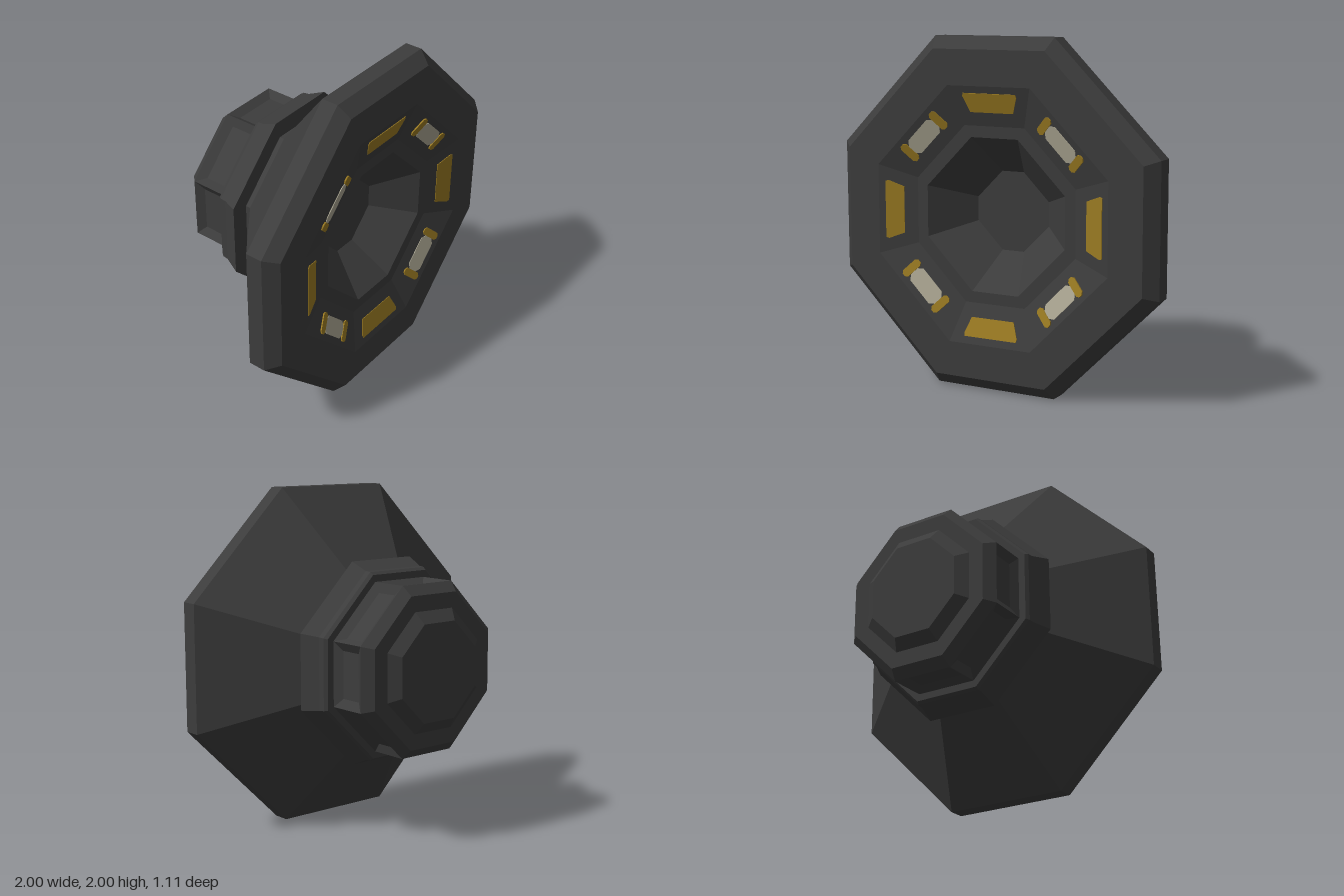
import * as THREE from 'three';

const darkMetal = new THREE.MeshStandardMaterial({ color: 0x3c3c3c });
darkMetal.name = 'darkMetal';
const amber = new THREE.MeshStandardMaterial({ color: 0x9a7a22 });
amber.name = 'amber';
const paleLens = new THREE.MeshStandardMaterial({ color: 0xaca793 });
paleLens.name = 'paleLens';

// Eight corners of a slightly square octagon: a = distance to flat, h = half length of that flat
function octagon([a, h, z]) {
  return [[a, -h], [a, h], [h, a], [-h, a], [-a, h], [-a, -h], [-h, -a], [h, -a]]
    .map(([x, y]) => new THREE.Vector3(x, y, z));
}

function quad(out, a, b, c, d) {
  for (const p of [a, b, c, a, c, d]) out.push(p.x, p.y, p.z);
}

function flatMesh(name, positions, material) {
  const geometry = new THREE.BufferGeometry();
  geometry.setAttribute('position', new THREE.Float32BufferAttribute(positions, 3));
  geometry.computeVertexNormals();
  const mesh = new THREE.Mesh(geometry, material);
  mesh.name = name;
  return mesh;
}

// Skin a series of octagons, ordered from front to back along the outside
function loft(name, sections) {
  const rings = sections.map(octagon);
  const out = [];
  for (let r = 0; r < rings.length - 1; r++) {
    for (let i = 0; i < 8; i++) {
      const j = (i + 1) % 8;
      quad(out, rings[r][i], rings[r + 1][i], rings[r + 1][j], rings[r][j]);
    }
  }
  return flatMesh(name, out, darkMetal);
}

// Eight side walls, each with a sunken panel
function recessedWalls(a, h, zFront, zBack, inset, depth) {
  const front = octagon([a, h, zFront]);
  const back = octagon([a, h, zBack]);
  const out = [];
  for (let i = 0; i < 8; i++) {
    const j = (i + 1) % 8;
    const outer = [front[i], back[i], back[j], front[j]];
    const along = front[j].clone().sub(front[i]).normalize();
    const inward = new THREE.Vector3(-along.y, along.x, 0);
    const inner = outer.map((p, k) => p.clone()
      .addScaledVector(along, k < 2 ? inset : -inset)
      .addScaledVector(inward, depth)
      .add(new THREE.Vector3(0, 0, k === 0 || k === 3 ? -inset : inset)));
    for (let k = 0; k < 4; k++) {
      const n = (k + 1) % 4;
      quad(out, outer[k], outer[n], inner[n], inner[k]);
    }
    quad(out, ...inner);
  }
  return flatMesh('recessedWalls', out, darkMetal);
}

// Thin plate from an outline
function plate(name, points, depth, material) {
  const shape = new THREE.Shape(points.map(([x, y]) => new THREE.Vector2(x, y)));
  const mesh = new THREE.Mesh(
    new THREE.ExtrudeGeometry(shape, { depth, bevelEnabled: false }), material);
  mesh.name = name;
  return mesh;
}

// Rectangle with clipped corners
function clipped(w, h, c) {
  return [[w - c, -h], [w, -h + c], [w, h - c], [w - c, h],
    [-w + c, h], [-w, h - c], [-w, -h + c], [-w + c, -h]];
}

export function createModel() {
  const model = new THREE.Group();
  const head = new THREE.Group();
  head.name = 'head';
  head.position.y = 1;
  model.add(head);

  // Dish, sloped light ring, rim, flare and neck
  head.add(loft('flaredBell', [
    [0, 0, 0.27], [0.23, 0.07, 0.27], [0.44, 0.148, 0.485], [0.505, 0.19, 0.485],
    [0.73, 0.26, 0.555], [0.93, 0.35, 0.555], [1, 0.375, 0.485], [1, 0.375, 0.385],
    [0.49, 0.185, -0.03], [0.49, 0.185, -0.22],
  ]));

  // Tapered collar around the neck
  head.add(loft('collar', [
    [0.47, 0.18, -0.06], [0.595, 0.22, -0.06], [0.548, 0.207, -0.165],
    [0.545, 0.205, -0.2], [0.53, 0.2, -0.22], [0.47, 0.18, -0.22],
  ]));

  // Rear housing with sunken panels and stepped cap
  head.add(recessedWalls(0.49, 0.185, -0.22, -0.45, 0.05, 0.03));
  head.add(loft('rearCap', [
    [0.49, 0.185, -0.45], [0.435, 0.17, -0.505], [0.345, 0.14, -0.505],
    [0.28, 0.115, -0.555], [0, 0, -0.555],
  ]));

  // Lights on the sloped ring: amber strips on the flats, clamped lenses on the diagonals
  for (let i = 0; i < 8; i++) {
    const diagonal = i % 2 === 1;
    const spin = new THREE.Group();
    spin.name = diagonal ? 'lensLight' : 'stripLight';
    spin.rotation.z = i * Math.PI / 4;
    const mount = new THREE.Group();
    mount.name = 'lightMount';
    const [radius, inner, outer] = diagonal ? [0.612, 0.491, 0.7] : [0.638, 0.505, 0.73];
    const z = 0.485 + 0.07 * (radius - inner) / (outer - inner);
    mount.position.set(0, radius, z);
    mount.rotation.x = Math.atan2(0.07, outer - inner);
    if (diagonal) {
      mount.add(plate('lens', clipped(0.118, 0.052, 0.032), 0.004, paleLens));
      for (const side of [-1, 1]) {
        const clamp = plate('lensClamp', clipped(0.024, 0.062, 0.014), 0.008, amber);
        clamp.position.x = side * 0.136;
        mount.add(clamp);
      }
    } else {
      mount.add(plate('strip',
        [[-0.135, -0.057], [0.135, -0.057], [0.17, 0.037], [0.165, 0.055],
          [-0.165, 0.055], [-0.17, 0.037]], 0.004, amber));
    }
    spin.add(mount);
    head.add(spin);
  }
  return model;
}
